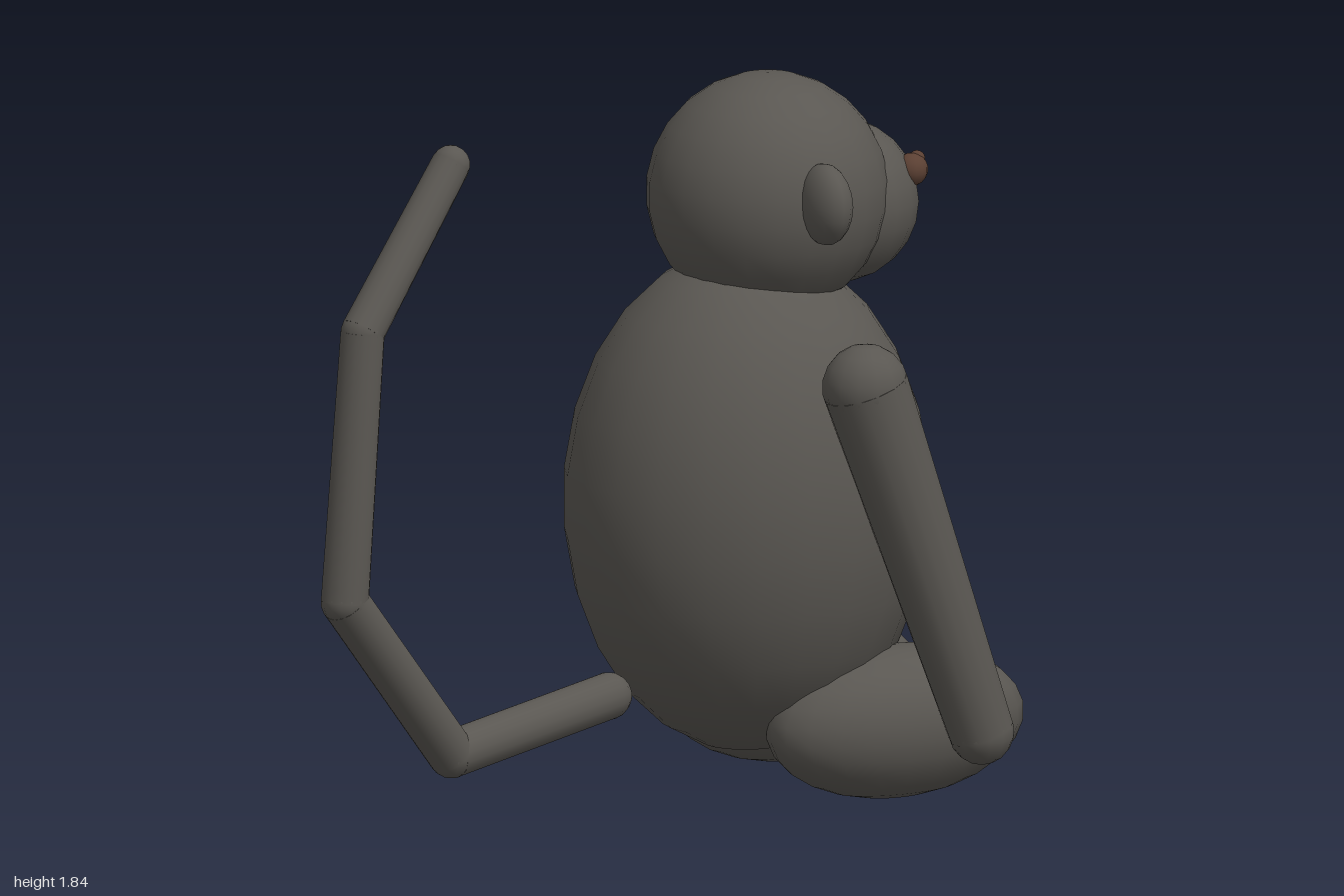
import * as THREE from 'three';

const fur = new THREE.MeshStandardMaterial({ color: 0x5a5752 });
fur.name = 'fur grey';
const eyeBrown = new THREE.MeshStandardMaterial({ color: 0x5b4033 });
eyeBrown.name = 'eye brown';

export function createModel() {
  const model = new THREE.Group();
  model.name = 'sittingMonkey';

  // Ellipsoid given its centre and radii
  const blob = (name, pos, radii, mat = fur, w = 22, h = 13) => {
    const mesh = new THREE.Mesh(new THREE.SphereGeometry(1, w, h), mat);
    mesh.name = name;
    mesh.position.set(...pos);
    mesh.scale.set(...radii);
    model.add(mesh);
  };
  const ball = (name, pos, r, mat, w = 14, h = 9) => blob(name, pos, [r, r, r], mat, w, h);

  // Tapered limb between two points
  const limb = (name, a, b, ra, rb) => {
    const from = new THREE.Vector3(...a), to = new THREE.Vector3(...b);
    const dir = to.clone().sub(from);
    const mesh = new THREE.Mesh(new THREE.CylinderGeometry(rb, ra, dir.length(), 16), fur);
    mesh.name = name;
    mesh.position.copy(from).add(to).multiplyScalar(0.5);
    mesh.quaternion.setFromUnitVectors(new THREE.Vector3(0, 1, 0), dir.normalize());
    model.add(mesh);
  };

  // Trunk and head, facing +x
  blob('body', [0.36, 0.755, 0], [0.472, 0.645, 0.445]);
  ball('head', [0.42, 1.535, 0], 0.308, fur, 22, 13);
  ball('muzzle', [0.62, 1.495, 0], 0.208, fur, 20, 12);

  // Paired parts
  for (const [side, s] of [['Near', 1], ['Far', -1]]) {
    blob('ear' + side, [0.41, 1.56, s * 0.31], [0.06, 0.104, 0.097], fur, 16, 10);
    ball('eye' + side, [0.777, 1.575, s * 0.105], 0.042, eyeBrown);
    ball('pupil' + side, [0.795, 1.6, s * 0.1], 0.021, eyeBrown);
    const shoulder = [0.44, 1.115, s * 0.462], hand = [0.76, 0.2, s * 0.49];
    ball('shoulder' + side, shoulder, 0.11);
    limb('arm' + side, shoulder, hand, 0.11, 0.083);
    ball('hand' + side, hand, 0.083);
    blob('leg' + side, [0.64, 0.2, s * 0.26], [0.36, 0.195, 0.18]);
  }

  // Bent tail with rounded joints
  const tail = [
    [-0.05, 0.29, 0.015], [-0.57, 0.215, 0.13], [-0.93, 0.66, 0.22],
    [-0.87, 1.345, 0.205], [-0.57, 1.73, 0.125],
  ];
  const radius = [0.06, 0.061, 0.061, 0.056, 0.05];
  tail.forEach((p, i) => {
    ball('tailJoint' + i, p, radius[i]);
    if (i) limb('tailSegment' + i, tail[i - 1], p, radius[i - 1], radius[i]);
  });
  return model;
}
